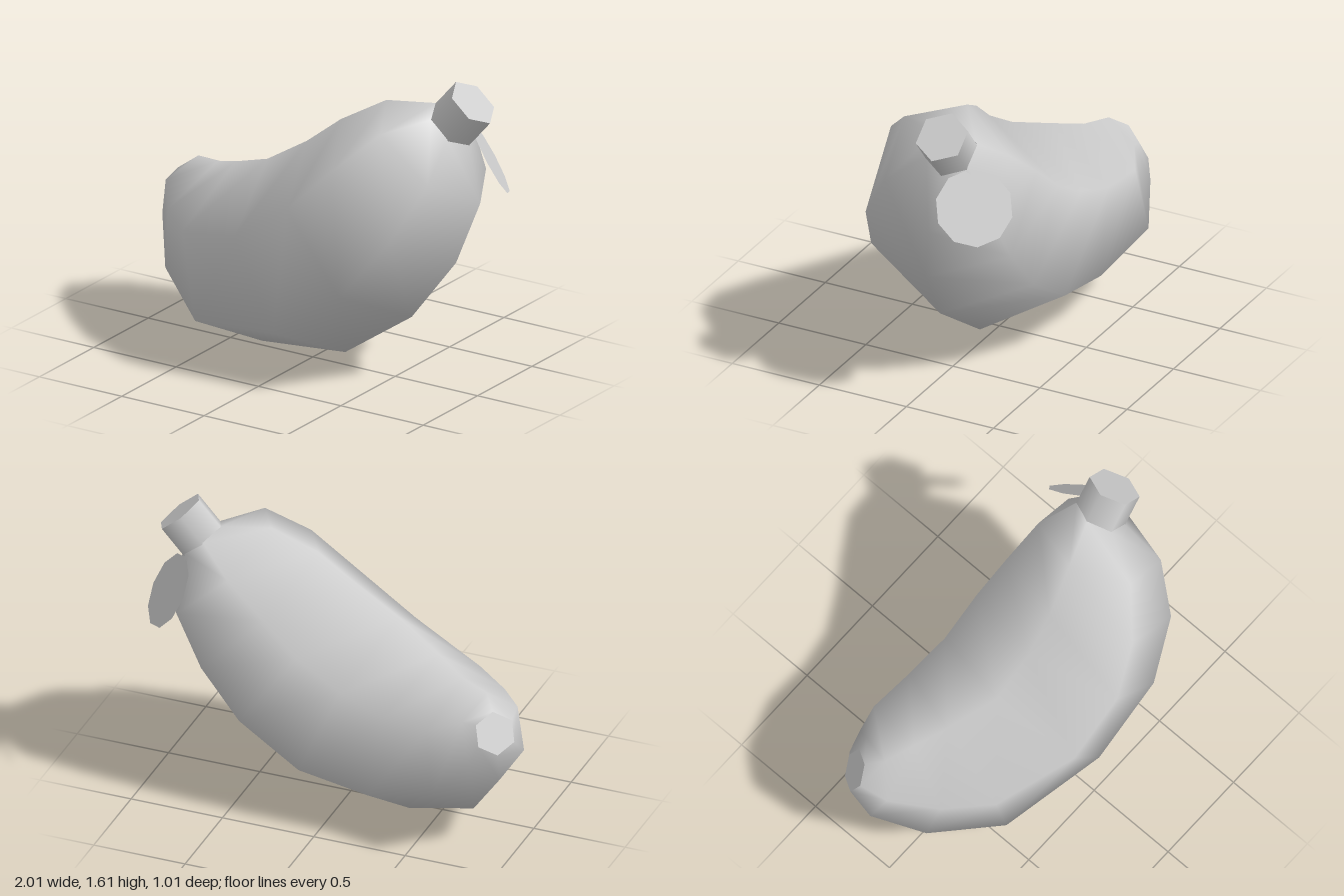
import * as THREE from 'three';

const vec = (a) => new THREE.Vector3(...a);

// Six-sided cross-sections from the blunt tip to the foot of the stem:
// [centre, vector to the upper corner, vector to the front side]
const SECTIONS = [
  [[-0.915, 0.705, -0.31], [0.03, 0.10, 0.04], [-0.071, -0.005, 0.067]],
  [[-0.88, 0.65, -0.25], [0.06, 0.21, 0.06], [-0.09, -0.015, 0.15]],
  [[-0.715, 0.535, -0.18], [0.05, 0.345, 0.05], [-0.09, -0.02, 0.305]],
  [[-0.42, 0.47, -0.05], [-0.08, 0.47, 0], [-0.11, -0.035, 0.39]],
  [[-0.02, 0.556, 0.03], [-0.22, 0.486, 0.025], [-0.02, -0.02, 0.455]],
  [[0.305, 0.77, 0.035], [-0.305, 0.42, 0.02], [0.02, 0.015, 0.456]],
  [[0.52, 1.01, 0], [-0.33, 0.33, 0.03], [0.033, 0.045, 0.40]],
  [[0.685, 1.235, -0.07], [-0.265, 0.235, 0.03], [0.018, 0.05, 0.297]],
  [[0.76, 1.39, -0.13], [-0.10, 0.085, 0], [0, 0, 0.118]],
];

// Corner weights (up, front), running from the bottom over the front to the top and back
const CORNERS = [[-1, 0], [-0.5, 1], [0.5, 1], [1, 0], [0.5, -1], [-0.5, -1]];

function ring([c, u, d]) {
  return CORNERS.map(([a, b]) => vec(c).addScaledVector(vec(u), a).addScaledVector(vec(d), b));
}

function geometryFrom(points, index) {
  const geo = new THREE.BufferGeometry().setFromPoints(points);
  geo.setIndex(index);
  geo.computeVertexNormals();
  return geo;
}

// Smooth skin through all the rings
function skinGeometry(rings) {
  const n = CORNERS.length, index = [];
  for (let i = 0; i < rings.length - 1; i++) {
    for (let j = 0; j < n; j++) {
      const a = i * n + j, b = i * n + (j + 1) % n;
      index.push(a, a + n, b + n, a, b + n, b);
    }
  }
  return geometryFrom(rings.flat(), index);
}

// Flat end closing a ring
function capGeometry(points) {
  const index = [];
  for (let j = 1; j < points.length - 1; j++) index.push(0, j, j + 1);
  return geometryFrom(points, index);
}

export function createModel() {
  const group = new THREE.Group();
  const grey = new THREE.MeshStandardMaterial({ color: 0xcccccc, side: THREE.DoubleSide });
  grey.name = 'plain grey';

  const add = (name, geo) => {
    const mesh = new THREE.Mesh(geo, grey);
    mesh.name = name;
    group.add(mesh);
    return mesh;
  };

  // Fruit body, closed at the tip and by the stem at the other end
  const rings = SECTIONS.map(ring);
  add('body', skinGeometry(rings));
  add('tipCap', capGeometry(rings[0]));

  // Hexagonal stem
  const from = vec([0.755, 1.373, -0.13]), to = vec([0.88, 1.52, -0.14]);
  const axis = to.clone().sub(from);
  const stem = add('stem', new THREE.CylinderGeometry(0.138, 0.138, axis.length(), 6));
  stem.geometry.rotateY(Math.PI / 6);
  stem.position.copy(from).lerp(to, 0.5);
  stem.quaternion.setFromUnitVectors(new THREE.Vector3(0, 1, 0), axis.normalize());

  // Round leaf hanging beside the stem
  const leaf = add('leaf', new THREE.CircleGeometry(0.2, 10));
  leaf.position.set(0.87, 1.155, -0.32);
  leaf.quaternion.setFromUnitVectors(new THREE.Vector3(0, 0, 1), vec([1, 0.67, -0.73]).normalize());

  return group;
}
